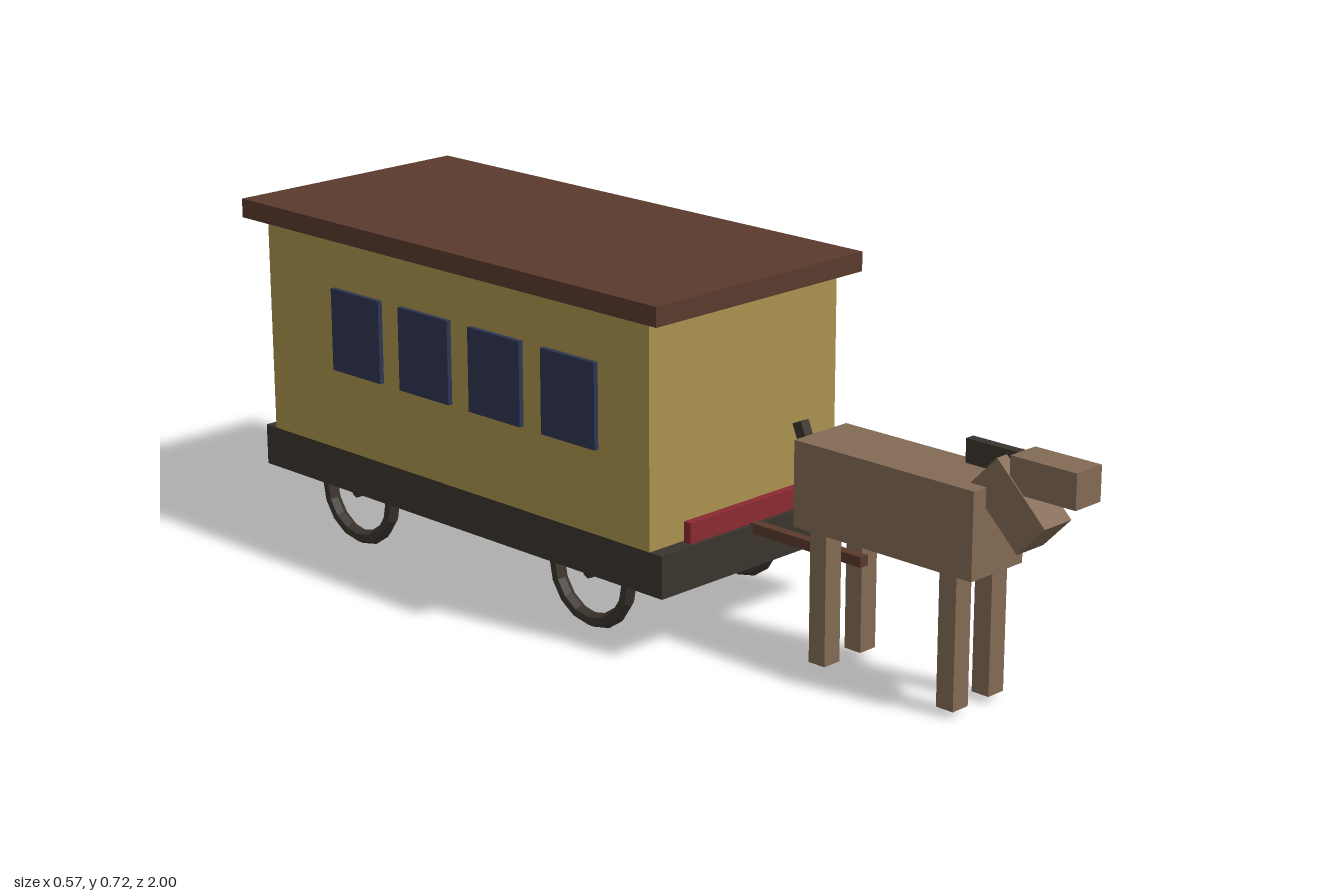
import * as THREE from 'three';

const mat = (name, color) => {
  const m = new THREE.MeshStandardMaterial({ color, flatShading: true });
  m.name = name;
  return m;
};

export function createModel() {
  const yellow = mat('ochre paint', 0xaa934e);
  const brown = mat('roof brown', 0x5a3a2d);
  const dark = mat('dark iron', 0x3b342e);
  const blue = mat('window blue', 0x2d3552);
  const red = mat('red paint', 0x8a2a30);
  const hide = mat('horse hide', 0x836a54);

  const root = new THREE.Group();
  const wagon = new THREE.Group();
  wagon.name = 'wagon';
  const horse = new THREE.Group();
  horse.name = 'horse';
  root.add(wagon, horse);

  const add = (parent, name, geometry, material, x, y, z) => {
    const m = new THREE.Mesh(geometry, material);
    m.name = name;
    m.position.set(x, y, z);
    parent.add(m);
    return m;
  };
  // Box from its extents: x centre and width, then y and z ranges
  const box = (parent, name, material, x, w, y0, y1, z0, z1) =>
    add(parent, name, new THREE.BoxGeometry(w, y1 - y0, z1 - z0), material,
      x, (y0 + y1) / 2, (z0 + z1) / 2);

  // Wagon: chassis, cabin, roof, front board and draw bar
  box(wagon, 'chassis', dark, 0, 0.522, 0.138, 0.225, -0.98, 0.207);
  box(wagon, 'cabin', yellow, 0, 0.522, 0.225, 0.68, -0.947, 0.174);
  box(wagon, 'roof', brown, 0, 0.572, 0.68, 0.72, -1, 0.218);
  box(wagon, 'frontBoard', red, 0, 0.348, 0.225, 0.267, 0.18, 0.198);
  box(wagon, 'drawBar', brown, 0, 0.021, 0.208, 0.229, 0.2, 0.485);

  const rim = new THREE.TorusGeometry(0.101, 0.0155, 6, 16).rotateY(Math.PI / 2);
  const hub = new THREE.CylinderGeometry(0.016, 0.016, 0.027, 8).rotateZ(Math.PI / 2);
  for (const side of [-1, 1]) {
    // Side windows
    for (let i = 0; i < 4; i++) {
      const z = -0.037 - i * 0.2085;
      box(wagon, 'window', blue, side * 0.266, 0.011, 0.399, 0.573, z - 0.074, z + 0.074);
    }
    // Wheels
    for (const z of [-0.036, -0.736]) {
      add(wagon, 'wheelRim', rim, dark, side * 0.208, 0.12, z);
      add(wagon, 'wheelHub', hub, dark, side * 0.208, 0.124, z);
    }
    // Horse legs
    for (const z of [0.433, 0.748]) {
      box(horse, 'leg', hide, side * 0.0515, 0.043, 0.016, 0.28, z - 0.02, z + 0.02);
    }
  }

  // Horse body, head, neck, mane and tail
  box(horse, 'body', hide, 0, 0.146, 0.278, 0.45, 0.37, 0.802);
  box(horse, 'head', hide, 0, 0.071, 0.452, 0.521, 0.852, 1);
  box(horse, 'mane', dark, 0, 0.02, 0.473, 0.52, 0.73, 0.86);
  const neck = add(horse, 'neck', new THREE.BoxGeometry(0.076, 0.156, 0.087), hide, 0, 0.425, 0.85);
  neck.rotation.x = -0.8;
  const tail = add(horse, 'tail', new THREE.BoxGeometry(0.022, 0.15, 0.023), dark, 0, 0.39, 0.348);
  tail.rotation.x = -0.4;

  return root;
}
